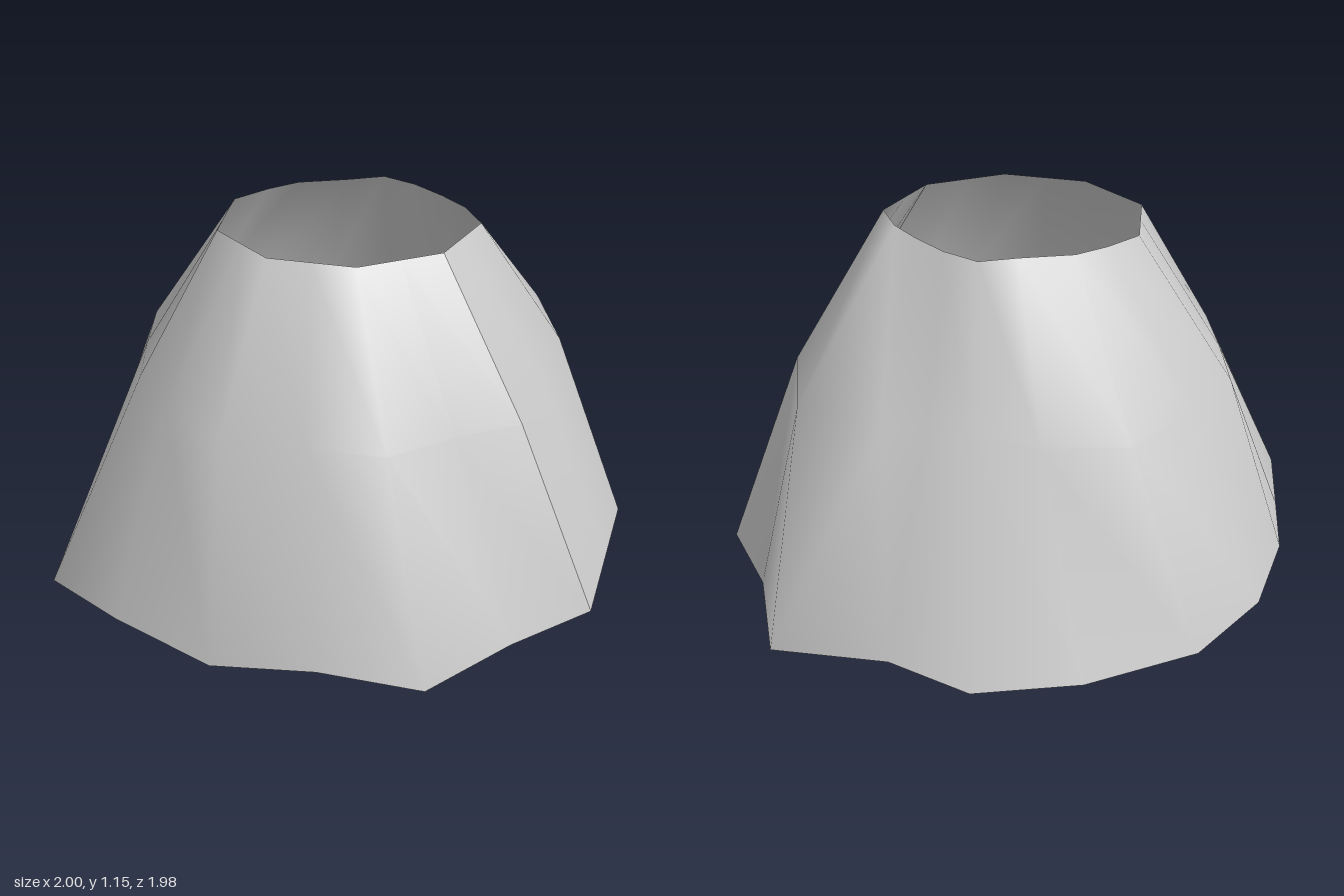
import * as THREE from 'three';

// Rings of [x, z] points, starting at the seam and turning from +x towards +z
const bottomRing = [
  [0.72, 0.66], [0.42, 0.8], [0.11, 0.99], [-0.2, 0.85], [-0.52, 0.77], [-0.8, 0.48],
  [-1, 0.23], [-0.91, -0.08], [-0.82, -0.38], [-0.65, -0.67], [-0.38, -0.9], [0, -0.99],
  [0.34, -0.97], [0.56, -0.77], [0.91, -0.62], [0.92, -0.26], [1, 0.06], [0.86, 0.36],
];
const middleRing = [
  [0.47, 0.605], [0.25, 0.66], [0.03, 0.75], [-0.2, 0.67], [-0.45, 0.58], [-0.6, 0.35],
  [-0.67, 0.1], [-0.64, -0.15], [-0.6, -0.4], [-0.42, -0.58], [-0.18, -0.785], [0.08, -0.74],
  [0.27, -0.63], [0.4, -0.58], [0.53, -0.53], [0.77, -0.35], [0.75, 0.02], [0.61, 0.31],
];
const topRing = [
  [0.27, 0.33], [0.13, 0.365], [-0.01, 0.4], [-0.14, 0.34], [-0.27, 0.28], [-0.335, 0.15],
  [-0.4, 0.02], [-0.36, -0.12], [-0.32, -0.26], [-0.2, -0.34], [-0.09, -0.39], [0.09, -0.39],
  [0.21, -0.4], [0.3, -0.3], [0.37, -0.17], [0.42, -0.05], [0.44, 0.1], [0.355, 0.215],
];

// Smooth open skin through the rings; the repeated seam column keeps one sharp edge
function skin(rings) {
  const sides = rings[0].points.length;
  const positions = [];
  const indices = [];
  rings.forEach(({ points, height }, r) => {
    for (let i = 0; i <= sides; i++) {
      const [x, z] = points[i % sides];
      positions.push(x, height(i % sides, x), z);
      if (r === rings.length - 1 || i === sides) continue;
      const a = r * (sides + 1) + i;
      const b = a + sides + 1;
      indices.push(a, b, b + 1, a, b + 1, a + 1);
    }
  });
  const geometry = new THREE.BufferGeometry();
  geometry.setAttribute('position', new THREE.Float32BufferAttribute(positions, 3));
  geometry.setIndex(indices);
  geometry.computeVertexNormals();
  return geometry;
}

export function createModel() {
  const grey = new THREE.MeshStandardMaterial({ color: 0xcccccc, side: THREE.DoubleSide });
  grey.name = 'light grey';

  // Flared wall, open at the top and bottom, with a slightly uneven foot
  const wall = new THREE.Mesh(skin([
    { points: bottomRing, height: (i) => (i === 14 ? 0 : i === 8 ? 0.03 : 0.015) },
    { points: middleRing, height: () => 0.69 },
    { points: topRing, height: (i, x) => 1.15 + 0.01 * x },
  ]), grey);
  wall.name = 'flaredWall';

  const model = new THREE.Group();
  model.name = 'openCone';
  model.add(wall);
  return model;
}
